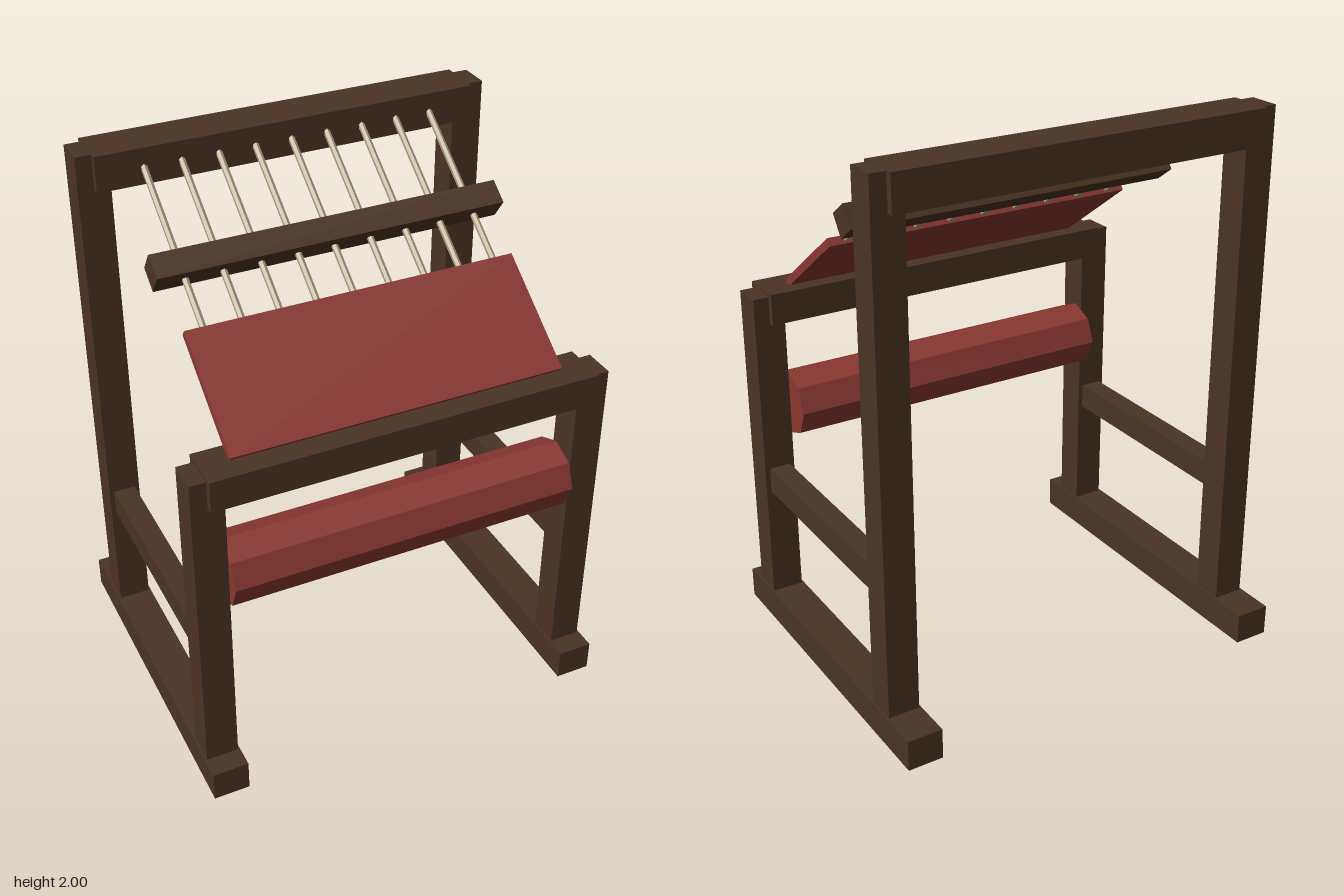
import * as THREE from 'three';

export function createModel() {
  const model = new THREE.Group();
  model.name = 'weavingLoom';

  const mat = (name, color) => {
    const m = new THREE.MeshStandardMaterial({ color, flatShading: true });
    m.name = name;
    return m;
  };
  const wood = mat('darkWood', 0x4a3424);
  const cloth = mat('redCloth', 0x8b3831);
  const thread = mat('paleThread', 0xb0a181);

  const add = (parent, name, geometry, material, x, y, z) => {
    const mesh = new THREE.Mesh(geometry, material);
    mesh.name = name;
    mesh.position.set(x, y, z);
    parent.add(mesh);
    return mesh;
  };
  // Box given by its width in x and its y and z ranges
  const beam = (name, x, w, y0, y1, z0, z1) =>
    add(model, name, new THREE.BoxGeometry(w, y1 - y0, z1 - z0), wood, x, (y0 + y1) / 2, (z0 + z1) / 2);

  // Side frames: foot, two posts and a stretcher on each side
  for (const [side, s] of [['left', 1], ['right', -1]]) {
    const x = 0.7 * s;
    beam(side + 'Foot', x, 0.13, 0, 0.115, -0.635, 0.635);
    beam(side + 'FrontPost', x, 0.115, 0.1, 1.305, 0.443, 0.558);
    beam(side + 'RearPost', x, 0.115, 0.1, 1.998, -0.49, -0.375);
    beam(side + 'Stretcher', x, 0.08, 0.54, 0.635, -0.4, 0.46);
  }

  // Cross beams
  beam('topBeam', 0, 1.4, 1.87, 2, -0.515, -0.35);
  beam('breastBeam', 0, 1.4, 1.205, 1.32, 0.418, 0.585);

  // Eight-sided cloth roller
  const roller = new THREE.CylinderGeometry(0.125, 0.125, 1.27, 8).rotateZ(Math.PI / 2);
  add(model, 'clothRoller', roller, cloth, 0, 0.87, 0.47);

  // Sloping warp: cloth, heddle bar and threads along the local z axis
  const warp = new THREE.Group();
  warp.name = 'warp';
  warp.position.set(0, 1.45, 0.32);
  warp.rotation.x = THREE.MathUtils.degToRad(35.5);
  model.add(warp);
  add(warp, 'wovenCloth', new THREE.BoxGeometry(1.2, 0.03, 0.446), cloth, 0, 0, 0);
  add(warp, 'heddleBar', new THREE.BoxGeometry(1.27, 0.09, 0.09), wood, 0, 0, -0.448);

  const rod = new THREE.CylinderGeometry(0.012, 0.012, 0.65, 6).rotateX(Math.PI / 2);
  for (let i = -4; i <= 4; i++) {
    add(warp, 'warpThread', rod, thread, i * 0.133, 0, -0.515);
  }

  return model;
}
